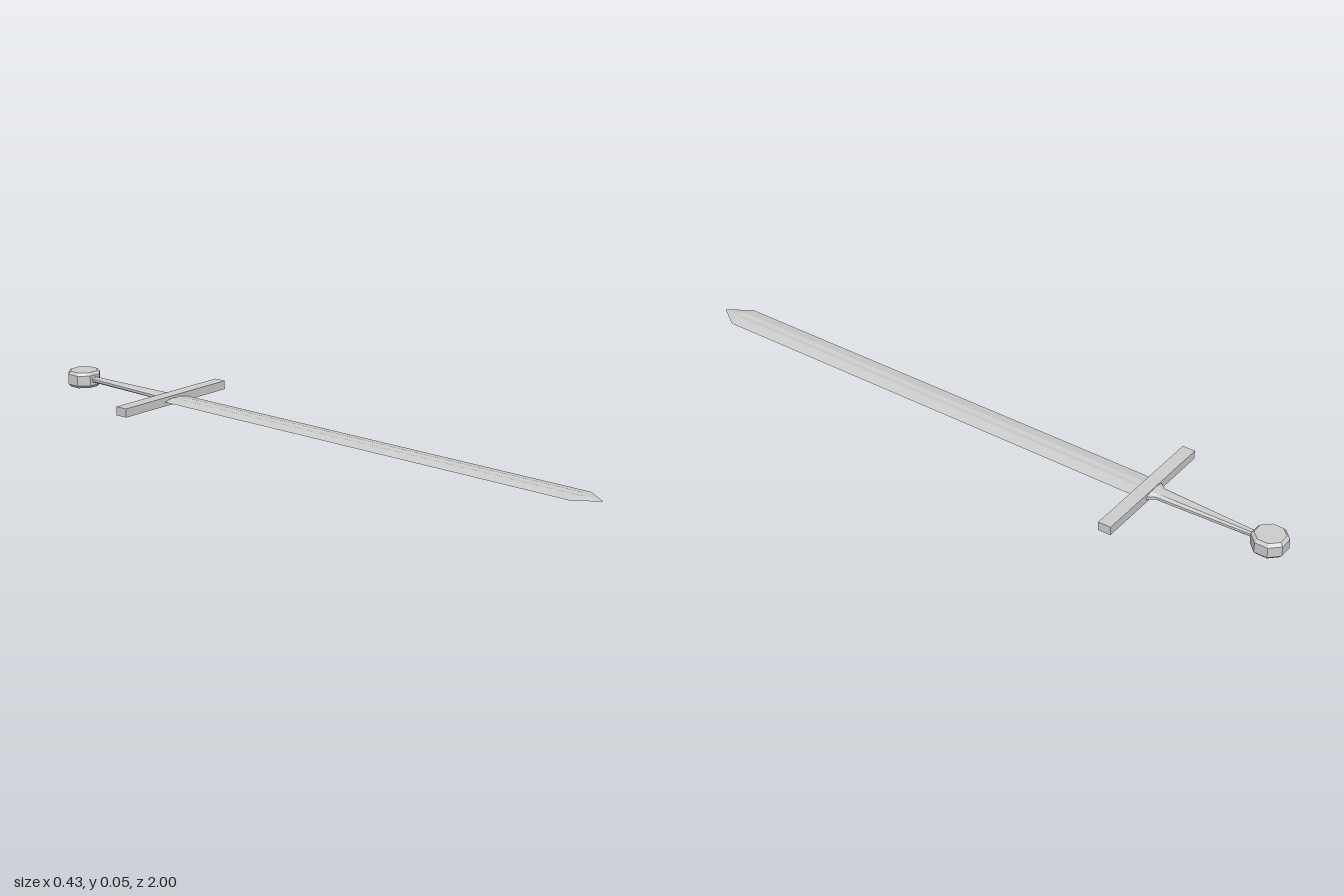
import * as THREE from 'three';

const MID_Y = 0.026, MID_X = -0.003;
const material = new THREE.MeshStandardMaterial({ color: 0xcccccc, flatShading: true });

// Joins rings of [x, y] points (counter-clockwise seen from +z) placed at rising z, with end caps
function loft(sections) {
  const pos = [];
  const n = sections[0].ring.length;
  const at = (i, j) => [...sections[i].ring[j % n], sections[i].z];
  const tri = (...corners) => corners.forEach(c => pos.push(...c));
  for (let i = 0; i < sections.length - 1; i++) {
    for (let j = 0; j < n; j++) {
      tri(at(i, j), at(i, j + 1), at(i + 1, j + 1));
      tri(at(i, j), at(i + 1, j + 1), at(i + 1, j));
    }
  }
  const last = sections.length - 1;
  for (let j = 0; j < n; j++) {
    tri([0, 0, sections[0].z], at(0, j + 1), at(0, j));
    tri([0, 0, sections[last].z], at(last, j), at(last, j + 1));
  }
  const geometry = new THREE.BufferGeometry();
  geometry.setAttribute('position', new THREE.Float32BufferAttribute(pos, 3));
  geometry.computeVertexNormals();
  return geometry;
}

// Thin blade section: sharp edges, two ridges and a groove between them on each face
function bladeRing(w, ridge, h, groove) {
  return [[w, 0], [ridge, h], [0, groove], [-ridge, h],
    [-w, 0], [-ridge, -h], [0, -groove], [ridge, -h]];
}

// Rectangle with chamfered corners
function gripRing(w, h) {
  const a = w * 0.55, b = h * 0.45;
  return [[w, -b], [w, b], [a, h], [-a, h], [-w, b], [-w, -b], [-a, -h], [a, -h]];
}

export function createModel() {
  const group = new THREE.Group();
  const add = (name, geometry, x, y, z) => {
    const mesh = new THREE.Mesh(geometry, material);
    mesh.name = name;
    mesh.position.set(x, y, z);
    group.add(mesh);
  };

  // Blade, grooved up to the pointed tip
  add('blade', loft([
    { z: -0.56, ring: bladeRing(0.049, 0.014, 0.0065, 0.0045) },
    { z: 0.93, ring: bladeRing(0.049, 0.014, 0.0065, 0.0045) },
    { z: 0.95, ring: bladeRing(0.035, 0.006, 0.0055, 0.0055) },
    { z: 1, ring: bladeRing(0, 0, 0, 0) },
  ]), MID_X, MID_Y, 0);

  // Straight crossguard
  add('crossguard', new THREE.BoxGeometry(0.432, 0.027, 0.04), 0, MID_Y, -0.565);

  // Tapered grip, flaring into the guard
  add('grip', loft([
    { z: -0.92, ring: gripRing(0.01, 0.008) },
    { z: -0.605, ring: gripRing(0.024, 0.009) },
    { z: -0.58, ring: gripRing(0.042, 0.0115) },
  ]), MID_X, MID_Y, 0);

  // Octagonal pommel with bevelled rims
  const k = 1 / Math.cos(Math.PI / 8);
  const profile = [[0, -0.025], [0.041, -0.025], [0.049, -0.016],
    [0.049, 0.016], [0.041, 0.025], [0, 0.025]]
    .map(([r, y]) => new THREE.Vector2(r * k, y));
  const pommel = new THREE.LatheGeometry(profile, 8);
  pommel.rotateY(Math.PI / 8);
  add('pommel', pommel, MID_X, 0.025, -0.951);

  return group;
}
